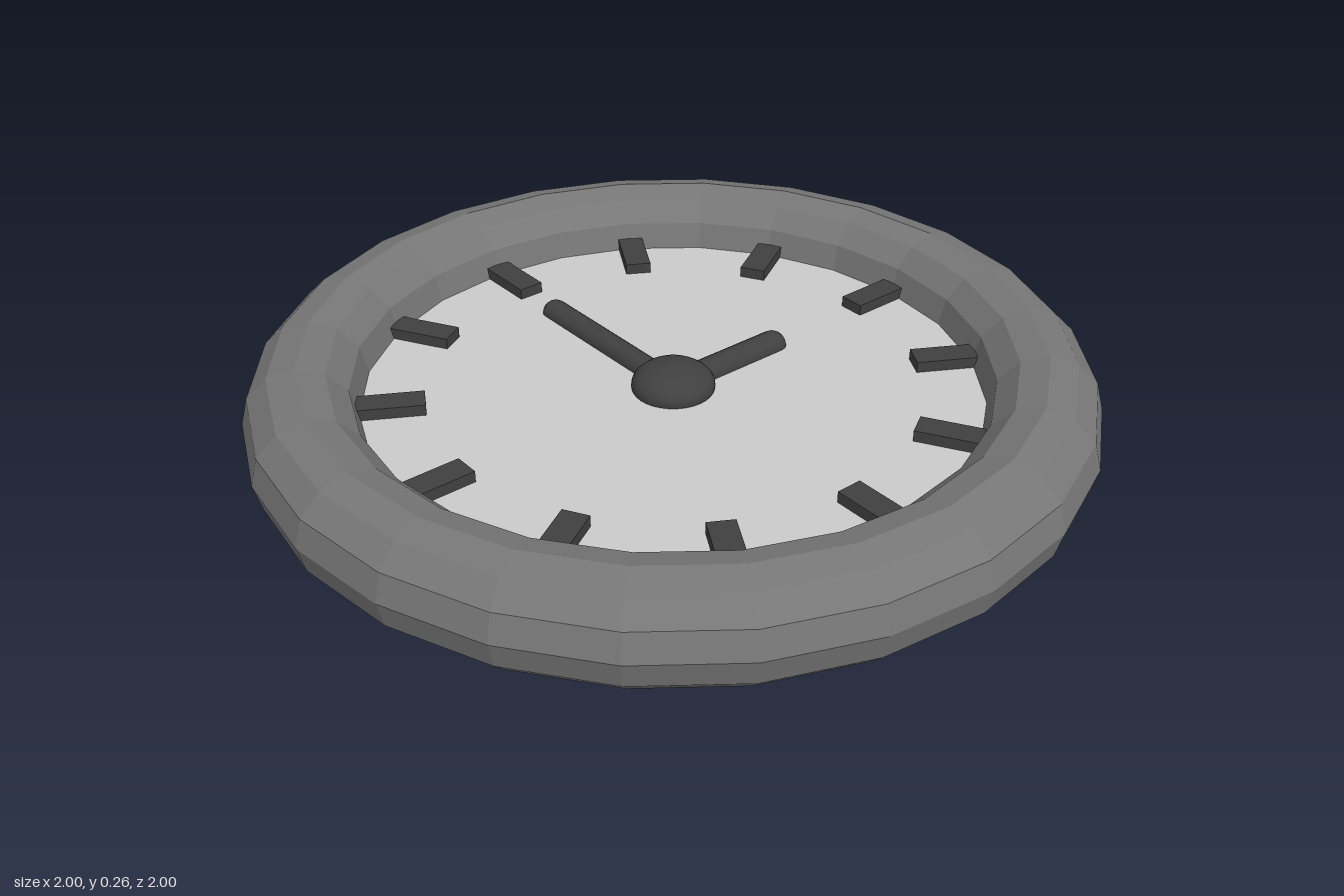
import * as THREE from 'three';

const MID = 0.1325; // height of the dial plane

function material(color, options = {}) {
  return new THREE.MeshStandardMaterial({ color, ...options });
}

function addMesh(parent, name, geometry, mat) {
  const mesh = new THREE.Mesh(geometry, mat);
  mesh.name = name;
  parent.add(mesh);
  return mesh;
}

// Rounded bar lying flat, running from the centre towards -z
function handGeometry(reach, radius) {
  return new THREE.CapsuleGeometry(radius, reach - radius, 6, 16)
    .rotateX(Math.PI / 2)
    .translate(0, 0, -(reach - radius) / 2);
}

export function createModel() {
  const clock = new THREE.Group();
  clock.name = 'clock';

  const frameMat = material(0x777777, { flatShading: true });
  const dialMat = material(0xcccccc, { side: THREE.DoubleSide });
  const darkMat = material(0x404040);

  // Faceted ring frame
  const ring = new THREE.TorusGeometry(0.8675, 0.1325, 12, 24).rotateX(-Math.PI / 2);
  addMesh(clock, 'frame', ring, frameMat).position.y = MID;

  // Thin dial, seen from both sides
  const disc = new THREE.CircleGeometry(0.77, 24).rotateX(-Math.PI / 2);
  addMesh(clock, 'dial', disc, dialMat).position.y = MID;

  // Twelve hour markers, passing through the dial
  const markers = new THREE.Group();
  markers.name = 'hourMarkers';
  markers.position.set(0, MID, -0.004);
  const markerGeo = new THREE.BoxGeometry(0.065, 0.055, 0.18).translate(0, 0, -0.675);
  for (let i = 0; i < 12; i++) {
    addMesh(markers, 'hourMarker', markerGeo, darkMat).rotation.y = -i * Math.PI / 6;
  }
  clock.add(markers);

  // Hands: short one to the back, long one to the model's right
  addMesh(clock, 'hourHand', handGeometry(0.35, 0.036), darkMat).position.y = MID;
  const minuteHand = addMesh(clock, 'minuteHand', handGeometry(0.505, 0.033), darkMat);
  minuteHand.position.y = MID;
  minuteHand.rotation.y = Math.PI / 2;

  // Flattened centre hub
  const hub = addMesh(clock, 'hub', new THREE.SphereGeometry(0.1, 32, 16), darkMat);
  hub.position.y = MID + 0.008;
  hub.scale.y = 0.55;

  return clock;
}
